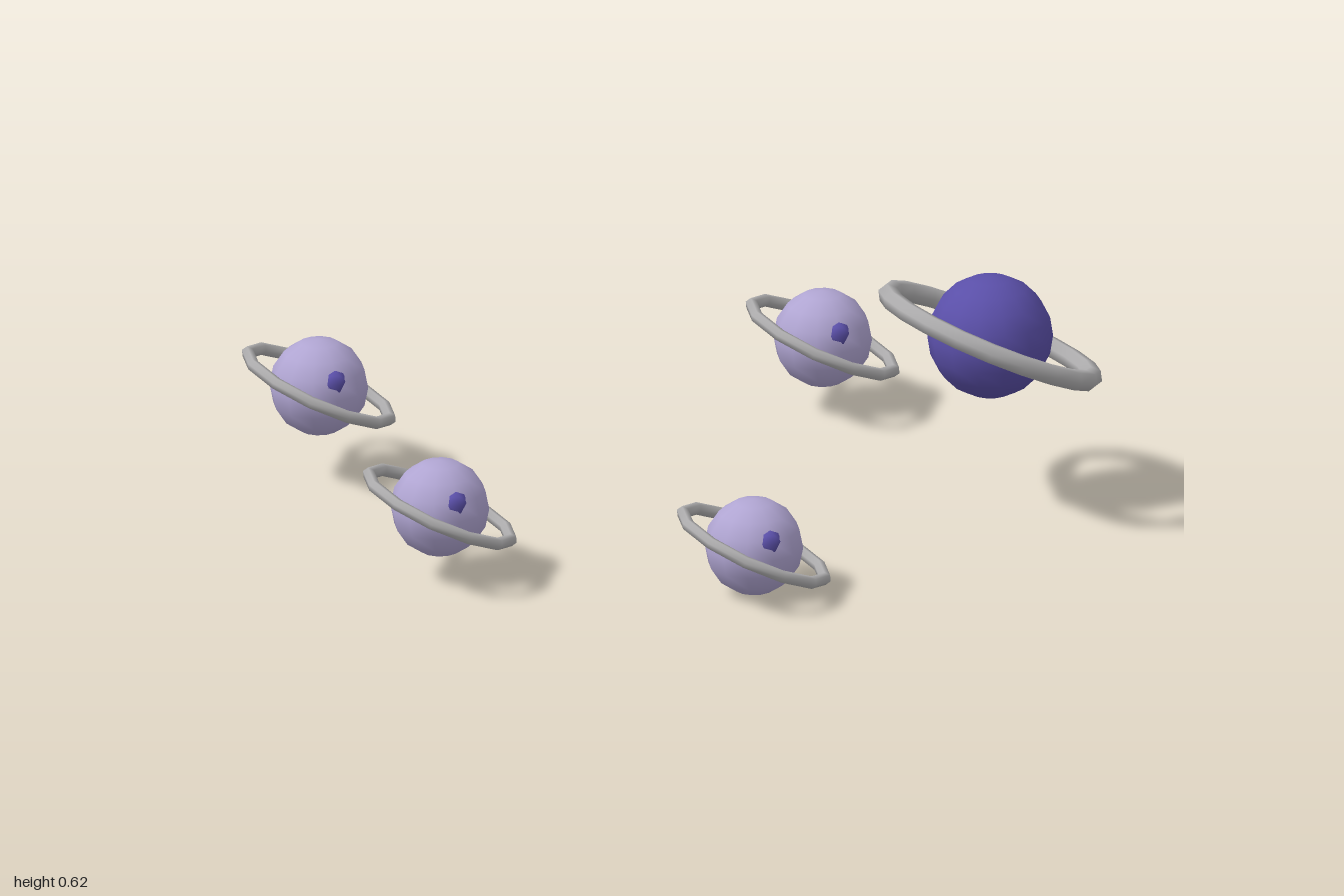
import * as THREE from 'three';

const material = (name, color) => {
  const m = new THREE.MeshStandardMaterial({ color });
  m.name = name;
  return m;
};

export function createModel() {
  const violet = material('deep violet', 0x5a4fa8);
  const lilac = material('pale lilac', 0xb0a5d2);
  const grey = material('ring grey', 0xb0afb0);

  const model = new THREE.Group();
  model.name = 'ringedPlanets';

  const add = (parent, name, geometry, mat) => {
    const mesh = new THREE.Mesh(geometry, mat);
    mesh.name = name;
    parent.add(mesh);
    return mesh;
  };

  // Ring lying flat, then tipped so its axis follows the given direction
  const addRing = (parent, radius, tube, sides, axis) => {
    const geometry = new THREE.TorusGeometry(radius, tube, 6, sides);
    geometry.rotateX(Math.PI / 2);
    const ring = add(parent, 'ring', geometry, grey);
    ring.quaternion.setFromUnitVectors(
      new THREE.Vector3(0, 1, 0),
      new THREE.Vector3(...axis).normalize()
    );
  };

  // Large planet
  const large = new THREE.Group();
  large.name = 'largePlanet';
  large.position.set(0.45, 0.465, 0.69);
  add(large, 'largeGlobe', new THREE.SphereGeometry(0.158, 14, 10), violet);
  addRing(large, 0.277, 0.027, 20, [0.37, 0.91, 0.2]);
  model.add(large);

  // Four small planets, each with a ring and a raised spot
  const places = [
    [-0.79, 0.19, -0.1],
    [0.79, 0.19, -0.1],
    [-0.395, 0.25, -0.785],
    [-0.395, 0.125, 0.59],
  ];
  places.forEach((place, i) => {
    const planet = new THREE.Group();
    planet.name = `smallPlanet${i + 1}`;
    planet.position.set(...place);
    add(planet, 'smallGlobe', new THREE.SphereGeometry(0.125, 12, 8), lilac);
    addRing(planet, 0.197, 0.016, 12, [0.31, 0.91, 0.28]);
    const spot = add(planet, 'spot', new THREE.SphereGeometry(0.03, 5, 4), violet);
    spot.position.set(-0.048, 0.043, 0.088);
    model.add(planet);
  });

  return model;
}
